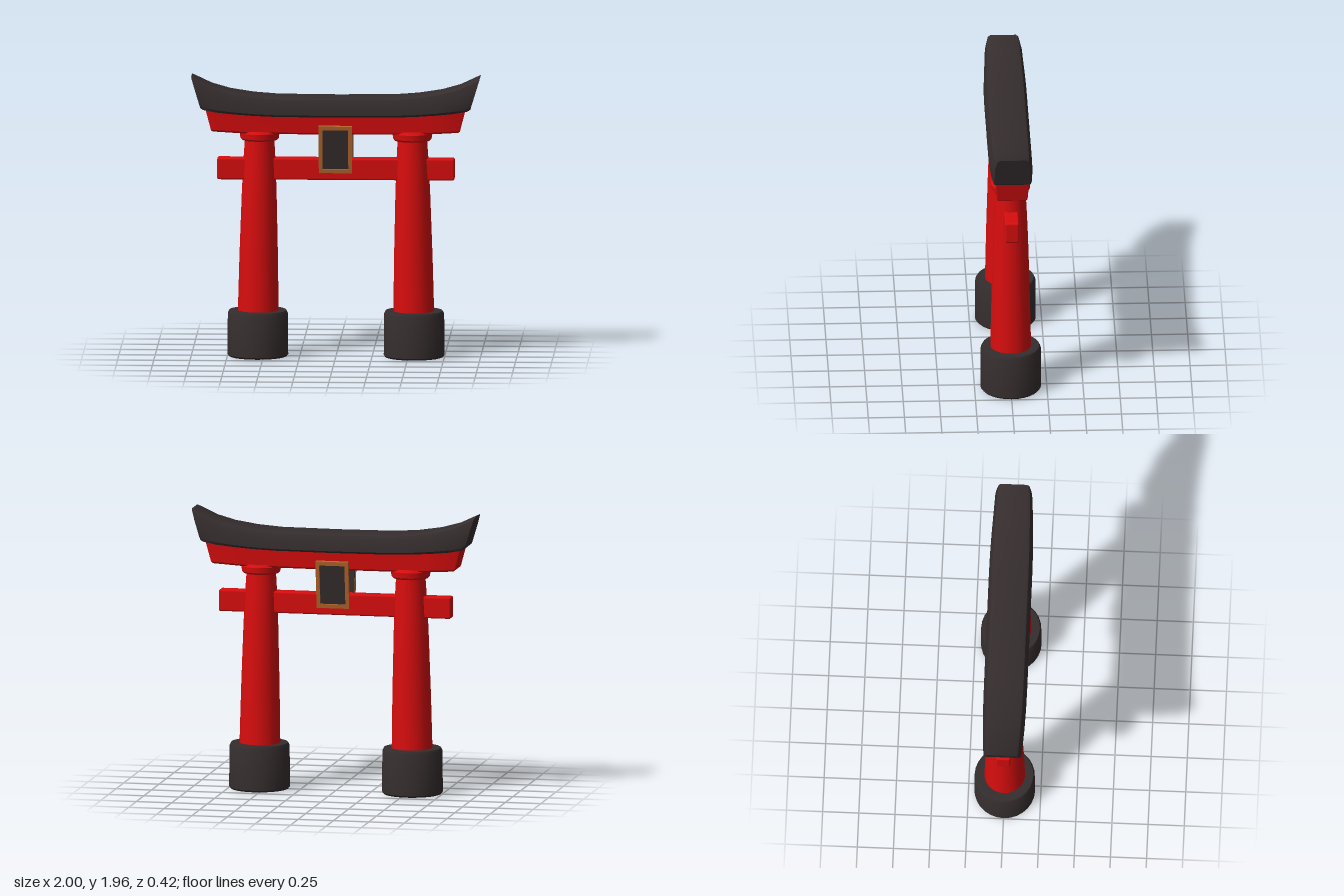
import * as THREE from 'three';
import { toCreasedNormals } from 'three/addons/utils/BufferGeometryUtils.js';
import { RoundedBoxGeometry } from 'three/addons/geometries/RoundedBoxGeometry.js';

const material = (name, color) => {
  const m = new THREE.MeshStandardMaterial({ color });
  m.name = name;
  return m;
};

// Beam along x. Half stations: [xBottom, yBottom, xTop, yTop, depthScale], centre to end.
// Section points: [z, height fraction], counter-clockwise as seen from +x.
function beamGeometry(half, section) {
  const mirrored = half.slice(1).reverse().map(([xb, yb, xt, yt, d]) => [-xb, yb, -xt, yt, d]);
  const stations = [...mirrored, ...half];
  const n = section.length, last = stations.length - 1;
  const pos = [], index = [];
  for (const [xb, yb, xt, yt, d] of stations) {
    for (const [z, v] of section) pos.push(xb + (xt - xb) * v, yb + (yt - yb) * v, z * d);
  }
  for (let i = 0; i < last; i++) {
    for (let j = 0; j < n; j++) {
      const k = (j + 1) % n;
      const a = i * n + j, b = i * n + k, c = b + n, d = a + n;
      index.push(a, b, c, a, c, d);
    }
  }
  for (let j = 1; j < n - 1; j++) {
    index.push(0, j + 1, j, last * n, last * n + j, last * n + j + 1);
  }
  const g = new THREE.BufferGeometry();
  g.setAttribute('position', new THREE.Float32BufferAttribute(pos, 3));
  g.setIndex(index);
  return toCreasedNormals(g, 0.5);
}

const lathe = (points, sides) =>
  toCreasedNormals(new THREE.LatheGeometry(points.map(p => new THREE.Vector2(...p)), sides), 0.6);

export function createModel() {
  const red = material('vermilion paint', 0xd80d0e);
  const dark = material('dark stone and tile', 0x352d2e);
  const bronze = material('bronze frame', 0xb4662c);
  const gate = new THREE.Group();
  gate.name = 'shrineGate';
  const add = (parent, name, geometry, mat, x = 0, y = 0, z = 0) => {
    const m = new THREE.Mesh(geometry, mat);
    m.name = name;
    m.position.set(x, y, z);
    parent.add(m);
    return m;
  };

  // Upswept roof beam
  add(gate, 'roofBeam', beamGeometry([
    [0, 1.685, 0, 1.812, 1],
    [0.4, 1.687, 0.4, 1.815, 1],
    [0.56, 1.693, 0.57, 1.828, 0.99],
    [0.7, 1.702, 0.73, 1.853, 0.96],
    [0.82, 1.713, 0.86, 1.89, 0.92],
    [0.915, 1.73, 0.965, 1.94, 0.88],
    [0.933, 1.742, 0.998, 1.955, 0.84],
  ], [
    [0.14, 0], [-0.14, 0], [-0.15, 0.1], [-0.145, 0.66], [-0.125, 0.95],
    [-0.105, 1], [0.105, 1], [0.125, 0.95], [0.145, 0.66], [0.15, 0.1],
  ]), dark);

  // Red lintel tucked under the roof
  add(gate, 'upperLintel', beamGeometry([
    [0, 1.56, 0, 1.7, 1],
    [0.6, 1.562, 0.62, 1.71, 1],
    [0.85, 1.577, 0.88, 1.735, 1],
    [0.86, 1.585, 0.897, 1.73, 0.96],
  ], [
    [0.095, 0], [-0.095, 0], [-0.106, 0.08], [-0.118, 1], [0.118, 1], [0.106, 0.08],
  ]), red);

  // Lower tie beam passing through both pillars
  add(gate, 'tieBeam', new RoundedBoxGeometry(1.64, 0.15, 0.098, 2, 0.012), red, 0, 1.31, 0);

  // Pillars with stone bases and round capitals
  const baseShape = lathe([[0, 0], [0.2, 0], [0.21, 0.012], [0.208, 0.3], [0.198, 0.32], [0, 0.32]], 28);
  const pillarShape = lathe([[0.141, 0.31], [0.133, 0.7], [0.12, 1.15], [0.11, 1.38], [0.1, 1.54]], 28);
  const capitalShape = lathe([[0, 1.51], [0.122, 1.51], [0.133, 1.522], [0.138, 1.56], [0.125, 1.578], [0, 1.578]], 24);
  for (const side of [-1, 1]) {
    const leg = new THREE.Group();
    leg.name = side > 0 ? 'leftPillar' : 'rightPillar';
    leg.position.x = side * 0.54;
    add(leg, 'pillarBase', baseShape, dark);
    const shaft = add(leg, 'pillarShaft', pillarShape, red);
    shaft.rotation.z = side * 0.008;
    add(leg, 'pillarCapital', capitalShape, red, -side * 0.012);
    gate.add(leg);
  }

  // Framed plaques, leaning outwards on both faces
  const outline = new THREE.Shape();
  outline.moveTo(-0.115, -0.167).lineTo(0.115, -0.167).lineTo(0.115, 0.167).lineTo(-0.115, 0.167).closePath();
  const hole = new THREE.Path();
  hole.moveTo(-0.089, -0.139).lineTo(-0.089, 0.139).lineTo(0.089, 0.139).lineTo(0.089, -0.139).closePath();
  outline.holes.push(hole);
  const frameShape = new THREE.ExtrudeGeometry(outline, { depth: 0.026, bevelEnabled: false });
  for (const face of [1, -1]) {
    const mount = new THREE.Group();
    mount.name = face > 0 ? 'frontPlaque' : 'backPlaque';
    mount.rotation.y = face > 0 ? 0 : Math.PI;
    const plaque = new THREE.Group();
    plaque.name = 'plaque';
    plaque.position.set(0, 1.46, 0.098);
    plaque.rotation.x = 0.13;
    add(plaque, 'plaqueFrame', frameShape, bronze);
    add(plaque, 'plaquePanel', new THREE.BoxGeometry(0.184, 0.284, 0.02), dark, 0, 0, 0.006);
    add(plaque, 'plaqueBacking', new THREE.BoxGeometry(0.222, 0.326, 0.014), dark, 0, 0, -0.006);
    mount.add(plaque);
    gate.add(mount);
  }
  return gate;
}
